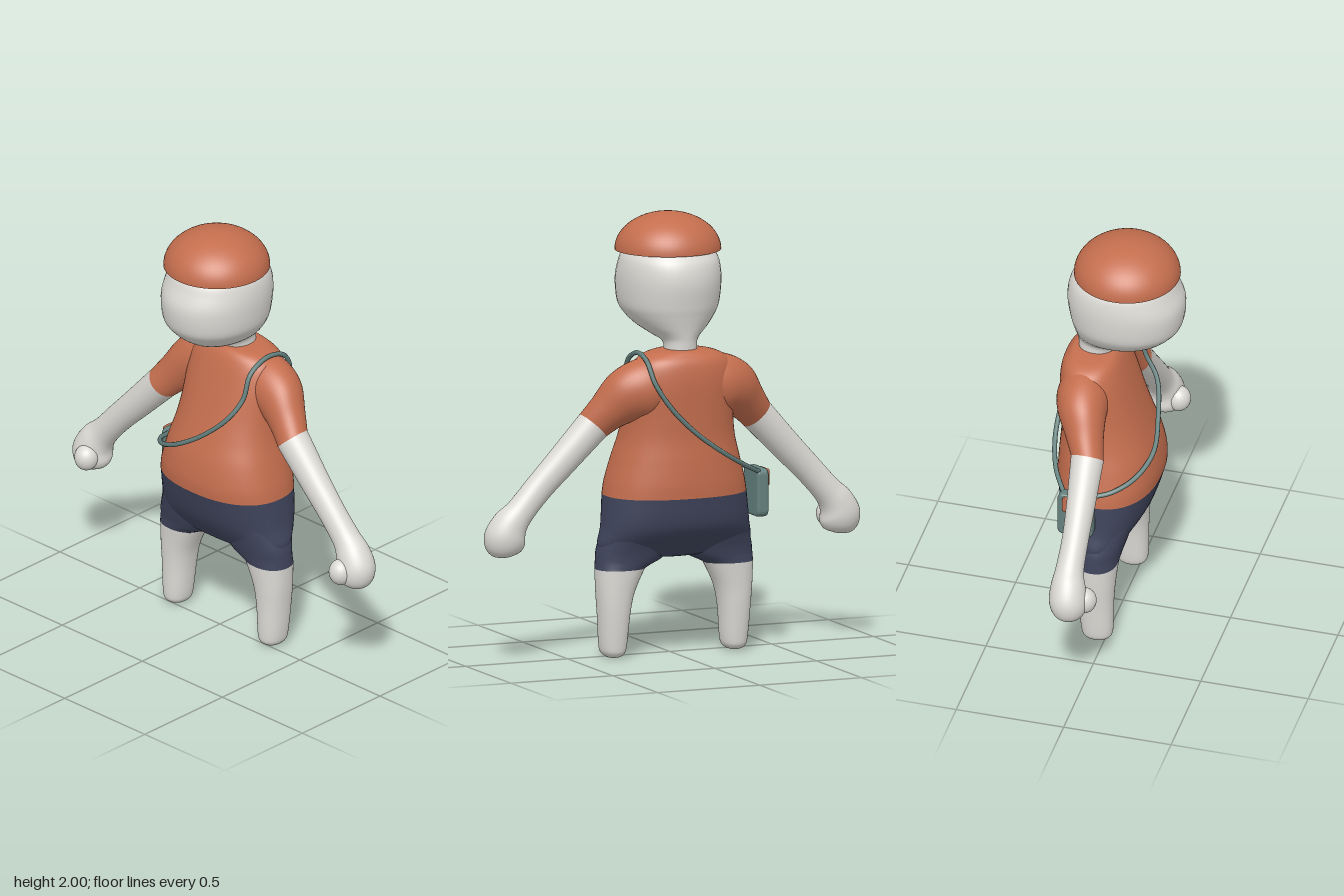
import * as THREE from 'three';

const paint = (name, color, side = THREE.FrontSide) => {
  const m = new THREE.MeshStandardMaterial({ color, side });
  m.name = name;
  return m;
};

// Smooth skin through rings [x, y, z, halfWidth, halfDepth, tiltDegrees];
// rings run downwards, n > 2 squares the outline
function loft(keys, n = 2, sides = 40, steps = 6) {
  const spline = (a, b, c, d, t) =>
    b + 0.5 * t * (c - a + t * (2 * a - 5 * b + 4 * c - d + t * (3 * (b - c) + d - a)));
  const rings = [];
  for (let k = 0; k < keys.length - 1; k++) {
    const [a, b, c, d] = [-1, 0, 1, 2].map(o => keys[Math.min(Math.max(k + o, 0), keys.length - 1)]);
    for (let s = 0; s < steps; s++) rings.push(b.map((_, i) => spline(a[i], b[i], c[i], d[i], s / steps)));
  }
  rings.push(keys[keys.length - 1]);

  const pos = [], index = [];
  const bend = v => Math.sign(v) * Math.abs(v) ** (2 / n);
  rings.forEach(([x, y, z, w, d, tilt], i) => {
    const r = THREE.MathUtils.degToRad(tilt);
    for (let j = 0; j < sides; j++) {
      const t = (j / sides) * Math.PI * 2;
      const u = Math.max(w, 0.0005) * bend(Math.cos(t));
      pos.push(x + u * Math.cos(r), y + u * Math.sin(r), z + Math.max(d, 0.0005) * bend(Math.sin(t)));
      if (i === rings.length - 1) continue;
      const a = i * sides + j, b = i * sides + (j + 1) % sides;
      index.push(a, b, a + sides, b, b + sides, a + sides);
    }
  });
  const g = new THREE.BufferGeometry();
  g.setAttribute('position', new THREE.Float32BufferAttribute(pos, 3));
  g.setIndex(index);
  g.computeVertexNormals();
  return g;
}

// Level ring from its height, left/right limits and front/back limits
const level = (y, x0, x1, front, back) =>
  [(x0 + x1) / 2, y, (front + back) / 2, (x1 - x0) / 2, (front - back) / 2, 0];
const centred = (y, w, front, back) => level(y, -w, w, front, back);

export function createModel() {
  const model = new THREE.Group();
  const skin = paint('skin', 0xdcdad5);
  const orange = paint('orange cloth', 0xc46e4e, THREE.DoubleSide);
  const navy = paint('navy cloth', 0x3f445b);
  const teal = paint('teal leather', 0x64807d);
  const add = (name, geometry, material, parent = model) => {
    const mesh = new THREE.Mesh(geometry, material);
    mesh.name = name;
    parent.add(mesh);
    return mesh;
  };

  // Head and neck
  add('head', loft([
    centred(1.96, 0, 0.02, 0.02), centred(1.94, 0.08, 0.1, -0.07), centred(1.9, 0.15, 0.17, -0.14),
    centred(1.83, 0.2, 0.23, -0.205), centred(1.78, 0.221, 0.255, -0.238), centred(1.7, 0.23, 0.285, -0.25),
    centred(1.6, 0.222, 0.277, -0.237), centred(1.55, 0.2, 0.25, -0.226), centred(1.5, 0.157, 0.195, -0.215),
    centred(1.46, 0.105, 0.115, -0.208), centred(1.43, 0.074, -0.015, -0.204), centred(1.37, 0.075, -0.045, -0.2),
  ], 2.1), skin);

  // Hollow dome cap
  const dome = new THREE.SphereGeometry(0.24, 48, 16, 0, Math.PI * 2, 0, Math.PI / 2);
  dome.scale(1, 0.17 / 0.24, 1);
  add('cap', dome, orange).position.set(0, 1.83, 0.02);

  // Shirt body and shorts
  const hem = centred(0.737, 0.333, 0.182, -0.278);
  add('shirt', loft([
    centred(1.405, 0, -0.12, -0.12), centred(1.4, 0.08, -0.04, -0.21), centred(1.383, 0.17, -0.012, -0.238),
    centred(1.34, 0.225, 0.012, -0.265), centred(1.25, 0.25, 0.045, -0.275), centred(1.1, 0.255, 0.095, -0.27),
    centred(1, 0.268, 0.13, -0.268), centred(0.9, 0.295, 0.165, -0.275), centred(0.8, 0.322, 0.183, -0.28), hem,
  ], 2.3, 56), orange);
  add('shorts', loft([
    hem, centred(0.6, 0.349, 0.14, -0.25), centred(0.5, 0.365, 0.08, -0.165),
    centred(0.465, 0.27, 0.05, -0.135), centred(0.448, 0.1, 0, -0.09), centred(0.445, 0, -0.045, -0.045),
  ], 2.3, 56), navy);

  // Limbs, built on the left and mirrored
  const cuff = level(0.405, 0.15, 0.38, 0.05, -0.14);
  const sleeveEnd = [0.402, 1.063, -0.055, 0.078, 0.075, 43];
  const thumbShape = new THREE.SphereGeometry(0.055, 24, 16).scale(1, 1.1, 1);
  const parts = [
    ['shortsLeg', navy, loft([
      level(0.6, 0.06, 0.335, 0.1, -0.2), level(0.5, 0.025, 0.37, 0.075, -0.16),
      level(0.45, 0.06, 0.377, 0.06, -0.146), level(0.42, 0.12, 0.379, 0.053, -0.141), cuff,
    ], 2.2)],
    ['leg', skin, loft([
      cuff, level(0.3, 0.2, 0.375, 0.042, -0.132), level(0.2, 0.222, 0.367, 0.037, -0.125),
      level(0.06, 0.235, 0.357, 0.035, -0.11), level(0.02, 0.246, 0.346, 0.025, -0.1),
      level(0.003, 0.27, 0.322, -0.005, -0.075), level(0, 0.296, 0.296, -0.04, -0.04),
    ], 2.2)],
    ['sleeve', orange, loft([
      [0.05, 1.25, -0.135, 0.125, 0.1, 90], [0.18, 1.232, -0.135, 0.138, 0.12, 84],
      [0.273, 1.195, -0.118, 0.122, 0.11, 62], [0.345, 1.125, -0.085, 0.092, 0.088, 48], sleeveEnd,
    ])],
    ['arm', skin, loft([
      sleeveEnd, [0.55, 0.908, -0.045, 0.07, 0.065, 43], [0.66, 0.795, -0.04, 0.065, 0.06, 43],
      [0.75, 0.695, -0.04, 0.066, 0.064, 41], [0.795, 0.64, -0.034, 0.08, 0.078, 35],
      [0.82, 0.575, -0.028, 0.096, 0.087, 20], [0.83, 0.525, -0.025, 0.082, 0.075, 10],
      [0.832, 0.495, -0.025, 0.045, 0.045, 0], [0.832, 0.487, -0.025, 0, 0, 0],
    ])],
    ['thumb', skin, thumbShape.translate(0.795, 0.57, 0.04)],
  ];
  for (const [side, sign] of [['left', 1], ['right', -1]]) {
    const limbs = new THREE.Group();
    limbs.name = side + 'Limbs';
    limbs.scale.x = sign;
    for (const [name, material, geometry] of parts) add(name, geometry, material, limbs);
    model.add(limbs);
  }

  // Strap over the left shoulder to the bag on the right hip
  const strapPath = new THREE.CatmullRomCurve3([
    [-0.365, 0.82, -0.05], [-0.33, 0.84, 0.04], [-0.24, 0.875, 0.125], [-0.11, 0.935, 0.172],
    [0.03, 1.02, 0.155], [0.16, 1.14, 0.115], [0.198, 1.23, 0.055], [0.2, 1.34, 0.01],
    [0.2, 1.388, -0.1], [0.2, 1.36, -0.205], [0.185, 1.27, -0.26], [0.11, 1.15, -0.282],
    [0, 1.04, -0.287], [-0.13, 0.945, -0.28], [-0.26, 0.87, -0.24], [-0.365, 0.82, -0.175],
  ].map(p => new THREE.Vector3(...p)));
  add('strap', new THREE.TubeGeometry(strapPath, 120, 0.011, 8), teal);

  // Shoulder bag: rounded slab with a flap on the outer face
  const slab = (w, h, d, r, bevel) => {
    const x = w / 2 - bevel, y = h / 2 - bevel, s = new THREE.Shape();
    s.moveTo(-x + r, -y).lineTo(x - r, -y).quadraticCurveTo(x, -y, x, -y + r);
    s.lineTo(x, y - r).quadraticCurveTo(x, y, x - r, y);
    s.lineTo(-x + r, y).quadraticCurveTo(-x, y, -x, y - r);
    s.lineTo(-x, -y + r).quadraticCurveTo(-x, -y, -x + r, -y);
    const g = new THREE.ExtrudeGeometry(s, {
      depth: d - 2 * bevel, bevelSize: bevel, bevelThickness: bevel, bevelSegments: 3, curveSegments: 6,
    });
    return g.translate(0, 0, bevel - d / 2).rotateY(-Math.PI / 2);
  };
  const bag = new THREE.Group();
  bag.name = 'bag';
  bag.position.set(-0.373, 0.725, -0.115);
  add('bagBody', slab(0.165, 0.22, 0.056, 0.02, 0.012), teal, bag);
  add('bagFlap', slab(0.11, 0.075, 0.02, 0.01, 0.004), orange, bag).position.set(-0.034, 0.065, 0);
  model.add(bag);

  return model;
}
